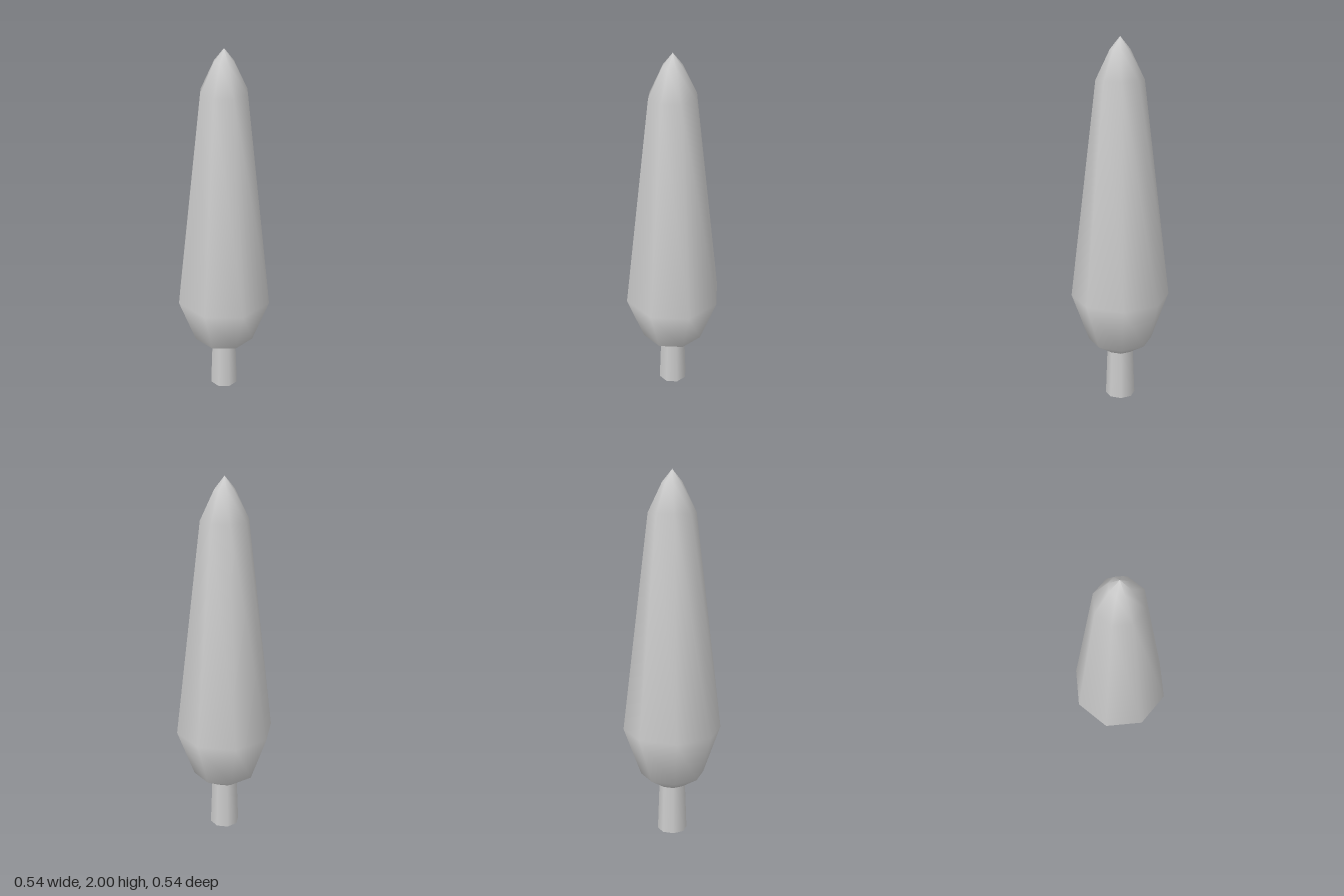
import * as THREE from 'three';

const SIDES = 8;

// Eight-sided turned part with smooth normals; profile runs bottom to top as [radius, height]
function turned(name, profile, material) {
  const points = profile.map(([r, y]) => new THREE.Vector2(r, y));
  const mesh = new THREE.Mesh(new THREE.LatheGeometry(points, SIDES), material);
  mesh.name = name;
  return mesh;
}

export function createModel() {
  const model = new THREE.Group();
  model.name = 'cypressTree';
  const material = new THREE.MeshStandardMaterial({ color: 0xcccccc });

  // Short open trunk, slightly wider at the ground
  model.add(turned('trunk', [[0.082, 0], [0.072, 0.27]], material));

  // Tall tapering crown: rounded underside, long slope, pointed tip
  model.add(turned('foliage', [
    [0.072, 0.27],
    [0.175, 0.335],
    [0.27, 0.6],
    [0.128, 1.78],
    [0.053, 1.935],
    [0, 2],
  ], material));

  return model;
}
